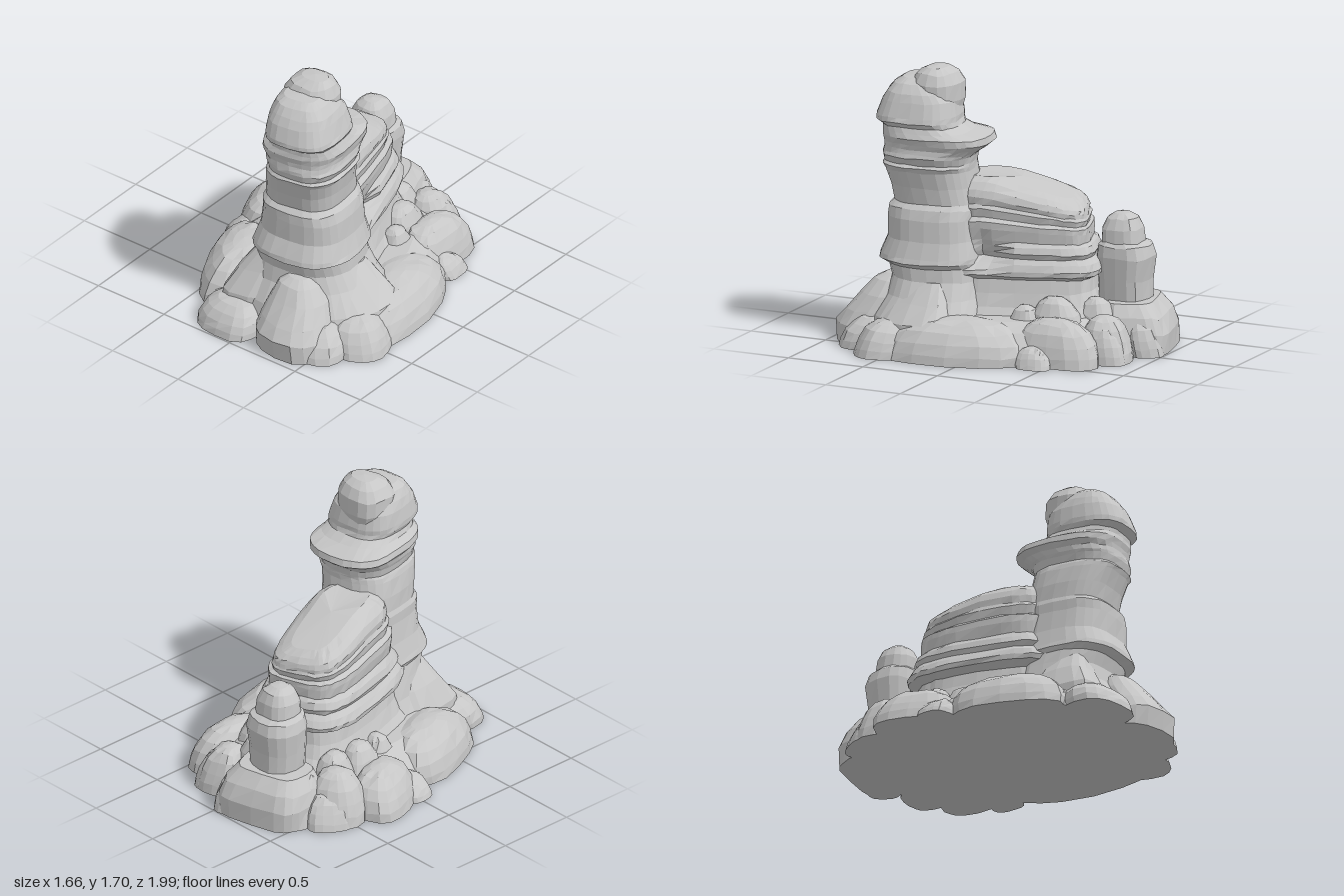
import * as THREE from 'three';

const stone = new THREE.MeshStandardMaterial({ color: 0xc6c6c6, flatShading: true });
stone.name = 'grey stone';

// Repeatable noise in 0..1
const noise = (a, b, c) => {
  const s = Math.sin(a * 12.99 + b * 78.23 + c * 37.72) * 43758.55;
  return s - Math.floor(s);
};

// Closed rock lofted through rounded-square rings.
// ring: [y, centre x, centre z, half width, half length, slope along z]
function rock(name, rings, { turn = 0, n = 2.6, segs = 20, rough = 0.03, seed = 1, dent } = {}) {
  const pos = [], index = [], p = new THREE.Vector3();
  const c = Math.cos(turn), s = Math.sin(turn);
  rings.forEach(([y, cx, cz, w, l, slope = 0], j) => {
    for (let i = 0; i < segs; i++) {
      const a = (i / segs) * Math.PI * 2, ca = Math.cos(a), sa = Math.sin(a);
      const k = 1 + rough * (Math.sin(3 * a + seed) * 0.6 + Math.sin(5 * a + seed * 2 + y * 3) * 0.4
        + (noise(i, j, seed) - 0.5));
      const u = Math.sign(ca) * Math.abs(ca) ** (2 / n) * w * k;
      const v = Math.sign(sa) * Math.abs(sa) ** (2 / n) * l * k;
      p.set(cx + u * c + v * s, y, cz - u * s + v * c);
      p.y += slope * Math.min(p.z - cz, 0.1);
      if (j && j < rings.length - 1) p.y += (noise(j, i, seed + 5) - 0.5) * rough * 0.4;
      if (dent) dent(p);
      pos.push(p.x, p.y, p.z);
    }
  });
  for (let j = 0; j < rings.length - 1; j++) {
    for (let i = 0; i < segs; i++) {
      const a = j * segs + i, b = j * segs + (i + 1) % segs;
      index.push(a, a + segs, b, b, a + segs, b + segs);
    }
  }
  const last = rings.length - 1, top = rings[last], bottom = rings[0], mid = pos.length / 3;
  pos.push(bottom[1], bottom[0], bottom[2], top[1], top[0] + 0.008, top[2]);
  for (let i = 0; i < segs; i++) {
    const k = (i + 1) % segs;
    index.push(mid, i, k, mid + 1, last * segs + k, last * segs + i);
  }
  const g = new THREE.BufferGeometry();
  g.setAttribute('position', new THREE.Float32BufferAttribute(pos, 3));
  g.setIndex(index);
  g.computeVertexNormals();
  const mesh = new THREE.Mesh(g, stone);
  mesh.name = name;
  return mesh;
}

// Rounded boulder resting on the ground, leaning towards the middle
function boulder(x, z, w, l, h, turn, seed) {
  const profile = [[0, 0.99], [0.22, 1], [0.48, 0.94], [0.72, 0.8], [0.9, 0.57], [0.98, 0.3]];
  const rings = profile.map(([t, k]) => [t * h, x * (1 - 0.09 * t), z * (1 - 0.06 * t), w * k, l * k]);
  return rock('boulder', rings, { turn, n: 2.5, segs: 16, rough: 0.04, seed });
}

// Ring from its extents: y, x from, x to, z from, z to
const span = ([y, x0, x1, z0, z1]) => [y, (x0 + x1) / 2, (z0 + z1) / 2, (x1 - x0) / 2, (z1 - z0) / 2];

export function createModel() {
  const model = new THREE.Group();
  model.name = 'rockFormation';

  // Tall spire with eroded bands, a back ledge and a heavy cap
  model.add(rock('spire', [
    [0, -0.32, 0.68, 0.0, 0.82], [0.2, -0.26, 0.62, 0.04, 0.76], [0.32, -0.2, 0.53, 0.08, 0.69],
    [0.42, -0.17, 0.47, 0.1, 0.67], [0.5, -0.15, 0.46, 0.1, 0.69], [0.53, -0.16, 0.5, 0.1, 0.74],
    [0.56, -0.15, 0.49, 0.1, 0.735], [0.66, -0.12, 0.46, 0.12, 0.69], [0.79, -0.1, 0.45, 0.13, 0.69],
    [0.85, -0.1, 0.43, 0.13, 0.69], [0.88, -0.09, 0.40, 0.14, 0.66], [0.98, -0.08, 0.41, 0.16, 0.68],
    [1.08, -0.06, 0.43, 0.17, 0.71], [1.11, -0.05, 0.45, 0.17, 0.72], [1.125, -0.04, 0.43, 0.17, 0.71],
    [1.17, -0.05, 0.45, 0.16, 0.72], [1.19, -0.06, 0.44, 0.14, 0.72], [1.22, -0.07, 0.435, 0.1, 0.715],
    [1.25, -0.1, 0.44, 0.06, 0.72], [1.29, -0.09, 0.45, 0.07, 0.73], [1.32, -0.03, 0.44, 0.18, 0.72],
    [1.35, -0.01, 0.43, 0.24, 0.72], [1.38, -0.02, 0.45, 0.25, 0.76], [1.41, -0.02, 0.44, 0.25, 0.76],
    [1.5, -0.01, 0.41, 0.27, 0.73], [1.55, 0.01, 0.39, 0.32, 0.7], [1.6, 0.04, 0.35, 0.4, 0.66],
    [1.63, 0.08, 0.3, 0.46, 0.61],
  ].map(span), { turn: 0.15, n: 2.8, segs: 28, rough: 0.018, seed: 3 }));

  // Knob on the back of the cap
  model.add(rock('topKnob', [
    [1.44, 0.03, 0.3, 0.27, 0.5], [1.5, 0.0, 0.34, 0.255, 0.54], [1.6, 0.0, 0.34, 0.255, 0.56],
    [1.66, 0.04, 0.31, 0.29, 0.52], [1.695, 0.1, 0.27, 0.34, 0.46],
  ].map(span), { n: 2.5, segs: 16, seed: 8 }));

  // Layered ridge running back from the spire, with a hollow on its left side
  const hollow = new THREE.Vector3(0.31, 0.58, 0.05);
  model.add(rock('ridge', [
    [0, 0.48, 0.72], [0.15, 0.41, 0.62], [0.28, 0.32, 0.5], [0.36, 0.29, 0.46], [0.44, 0.275, 0.45],
    [0.47, 0.325, 0.5], [0.5, 0.33, 0.51], [0.54, 0.31, 0.49], [0.57, 0.285, 0.46], [0.6, 0.3, 0.47],
    [0.64, 0.285, 0.45], [0.67, 0.26, 0.43, 0.03], [0.74, 0.27, 0.43, 0.06], [0.78, 0.27, 0.43, 0.08],
    [0.8, 0.24, 0.41, 0.1], [0.85, 0.25, 0.42, 0.14], [0.87, 0.235, 0.41, 0.16], [0.91, 0.24, 0.405, 0.2],
    [0.95, 0.225, 0.4, 0.24], [0.985, 0.19, 0.37, 0.28], [1.01, 0.14, 0.32, 0.3],
  ].map(([y, w, l, slope]) => [y, -0.02, -0.06, w, l, slope]), {
    turn: 0.3, n: 3.6, segs: 44, rough: 0.022, seed: 5,
    dent: (p) => {
      const d = p.distanceTo(hollow);
      if (d < 0.12) p.x -= 0.12 * (1 - d / 0.12);
    },
  }));

  // Slender pillar at the back
  model.add(rock('backPillar', [
    [0, -0.4, -0.02, -0.88, -0.48], [0.3, -0.36, -0.06, -0.82, -0.51], [0.42, -0.37, -0.05, -0.82, -0.51],
    [0.56, -0.38, -0.04, -0.84, -0.5], [0.63, -0.36, -0.05, -0.82, -0.51], [0.65, -0.33, -0.07, -0.78, -0.53],
    [0.73, -0.32, -0.08, -0.77, -0.53], [0.79, -0.29, -0.11, -0.74, -0.56], [0.82, -0.25, -0.15, -0.69, -0.6],
  ].map(span), { n: 2.6, segs: 16, seed: 11 }));

  // Blocky footing under the pillar
  model.add(rock('pillarFooting', [
    [0, 0.3, 0.2, -0.76], [0.13, 0.3, 0.2, -0.76], [0.22, 0.275, 0.18, -0.74], [0.3, 0.22, 0.14, -0.71],
  ].map(([y, w, l, z]) => [y, -0.23, z, w, l]), { turn: 0.25, n: 3.6, segs: 20, rough: 0.045, seed: 12 }));

  // Low apron closing the gaps between the boulders
  model.add(rock('apron', [
    [0, -0.65, 0.66, -0.82, 0.84], [0.09, -0.64, 0.64, -0.8, 0.82], [0.18, -0.55, 0.56, -0.7, 0.7],
    [0.23, -0.44, 0.46, -0.6, 0.6],
  ].map(span), { n: 2.1, segs: 24, seed: 13 }));

  // Sloping buttresses at the foot of the spire
  model.add(rock('buttressRight', [
    [0, -0.28, 0.04, 0.36, 0.83], [0.2, -0.27, 0.04, 0.36, 0.8],
    [0.34, -0.2, 0.06, 0.38, 0.71], [0.48, -0.1, 0.1, 0.42, 0.63],
  ].map(span), { turn: 0.1, n: 3.5, segs: 14, seed: 14 }));
  model.add(rock('buttressLeft', [
    [0, 0.3, 0.72, 0.1, 0.62], [0.2, 0.28, 0.68, 0.12, 0.6],
    [0.3, 0.26, 0.57, 0.16, 0.57], [0.42, 0.26, 0.46, 0.22, 0.5],
  ].map(span), { turn: -0.2, n: 3, segs: 14, seed: 15 }));

  // Tall leaning rock in front
  model.add(rock('frontRock', [
    [0, 0.07, 0.56, 0.5, 0.96], [0.12, 0.07, 0.55, 0.5, 0.97], [0.2, 0.09, 0.51, 0.5, 0.92],
    [0.3, 0.11, 0.46, 0.5, 0.83], [0.38, 0.14, 0.39, 0.53, 0.76], [0.415, 0.19, 0.33, 0.58, 0.7],
  ].map(span), { n: 2.7, segs: 16, seed: 16, rough: 0.04 }));

  // Ring of boulders: x, z, half width, half length, height, turn
  const boulders = new THREE.Group();
  boulders.name = 'boulders';
  [
    [0.57, 0.1, 0.22, 0.46, 0.25, 0.16], [-0.43, 0.38, 0.2, 0.36, 0.26, 0.36],
    [-0.64, -0.19, 0.165, 0.25, 0.25, 0.4], [-0.67, 0.01, 0.11, 0.11, 0.13, 0],
    [-0.56, -0.5, 0.17, 0.16, 0.3, 0.4], [-0.6, -0.6, 0.1, 0.15, 0.2, -0.5],
    [-0.43, -0.69, 0.12, 0.15, 0.3, 0], [-0.05, -0.88, 0.12, 0.11, 0.22, 0.7],
    [0.19, -0.75, 0.14, 0.15, 0.27, 0.3], [0.25, -0.78, 0.1, 0.11, 0.22, 0.3],
    [0.41, -0.51, 0.15, 0.27, 0.27, 0], [0.58, -0.43, 0.07, 0.11, 0.12, 0],
    [0.23, -0.42, 0.125, 0.18, 0.36, 0.1], [0.32, -0.25, 0.1, 0.11, 0.31, 0],
    [0.64, 0.54, 0.18, 0.18, 0.21, 0.3], [0.47, 0.71, 0.18, 0.19, 0.2, 0.5],
    [-0.12, 0.81, 0.22, 0.185, 0.18, 0], [-0.44, -0.41, 0.12, 0.14, 0.34, 0],
    [-0.45, -0.21, 0.12, 0.14, 0.34, 0], [-0.41, -0.02, 0.1, 0.1, 0.31, 0],
    [0.04, -0.62, 0.13, 0.13, 0.34, 0],
  ].forEach((b, i) => boulders.add(boulder(...b, i + 20)));
  model.add(boulders);

  return model;
}
